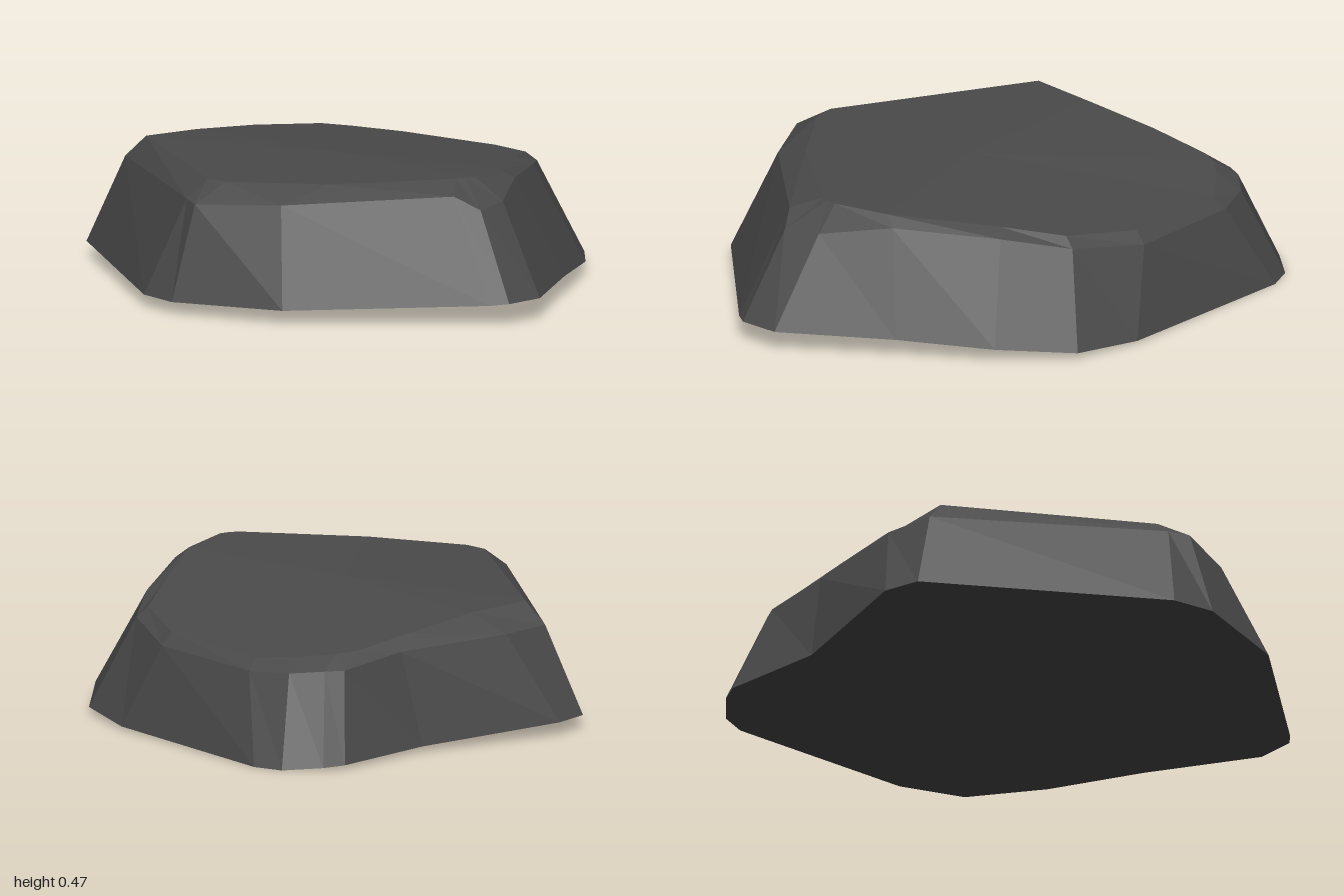
import * as THREE from 'three';

// Outline rings [x, y, z], running clockwise as seen from above, starting at the back
const BASE = [
  [-0.32, 0.05, -0.98], [-0.18, 0.05, -1], [0.34, 0.02, -0.82], [0.73, 0.015, -0.81],
  [0.8, 0.01, -0.77], [0.9, 0, -0.66], [0.93, 0, -0.55], [0.84, 0.01, 0.2], [0.75, 0.025, 0.45],
  [0.52, 0.05, 0.64], [0.2, 0.07, 0.8], [-0.19, 0.08, 1], [-0.34, 0.08, 0.98], [-0.39, 0.075, 0.93],
  [-0.83, 0.05, 0.33], [-0.94, 0.045, -0.09], [-0.9, 0.045, -0.25],
];
const SHOULDER = [
  [-0.26, 0.37, -0.85], [-0.06, 0.37, -0.85], [0.37, 0.36, -0.74], [0.63, 0.33, -0.71],
  [0.69, 0.33, -0.67], [0.77, 0.32, -0.57], [0.81, 0.31, -0.41], [0.775, 0.32, 0.06], [0.64, 0.36, 0.32],
  [0.43, 0.4, 0.47], [0.09, 0.43, 0.66], [-0.14, 0.4, 0.79], [-0.28, 0.39, 0.8], [-0.32, 0.435, 0.71],
  [-0.7, 0.4, 0.22], [-0.82, 0.385, -0.08], [-0.78, 0.39, -0.15],
];
const TOP = [
  [-0.24, 0.45, -0.77], [0, 0.44, -0.73], [0.3, 0.41, -0.705], [0.53, 0.38, -0.675],
  [0.6, 0.375, -0.64], [0.67, 0.365, -0.56], [0.765, 0.35, -0.4], [0.735, 0.365, 0.05], [0.6, 0.395, 0.3],
  [0.4, 0.425, 0.42], [0.05, 0.465, 0.63], [-0.15, 0.475, 0.67], [-0.19, 0.475, 0.66], [-0.22, 0.475, 0.64],
  [-0.53, 0.46, 0.3], [-0.7, 0.455, -0.03], [-0.7, 0.455, -0.12],
];

function geometryFrom(triangles) {
  const geometry = new THREE.BufferGeometry();
  geometry.setAttribute('position', new THREE.Float32BufferAttribute(triangles.flat(2), 3));
  geometry.computeVertexNormals();
  return geometry;
}

// Wall of quads between a lower and an upper ring
function band(lower, upper) {
  return geometryFrom(lower.flatMap((a, i) => {
    const j = (i + 1) % lower.length;
    return [[a, upper[i], upper[j]], [a, upper[j], lower[j]]];
  }));
}

// Fan from a centre point to a ring
function cap(ring, centre, facesUp) {
  return geometryFrom(ring.map((a, i) => {
    const b = ring[(i + 1) % ring.length];
    return facesUp ? [centre, b, a] : [centre, a, b];
  }));
}

export function createModel() {
  const group = new THREE.Group();
  group.name = 'flatRock';
  const stone = new THREE.MeshStandardMaterial({ color: 0x4a4a4a, flatShading: true });
  stone.name = 'darkStone';

  const add = (name, geometry) => {
    const mesh = new THREE.Mesh(geometry, stone);
    mesh.name = name;
    group.add(mesh);
  };

  add('sides', band(BASE, SHOULDER));
  add('bevel', band(SHOULDER, TOP));
  add('topFace', cap(TOP, [-0.05, 0.455, -0.05], true));
  add('underside', cap(BASE, [0, 0.035, 0], false));
  return group;
}
